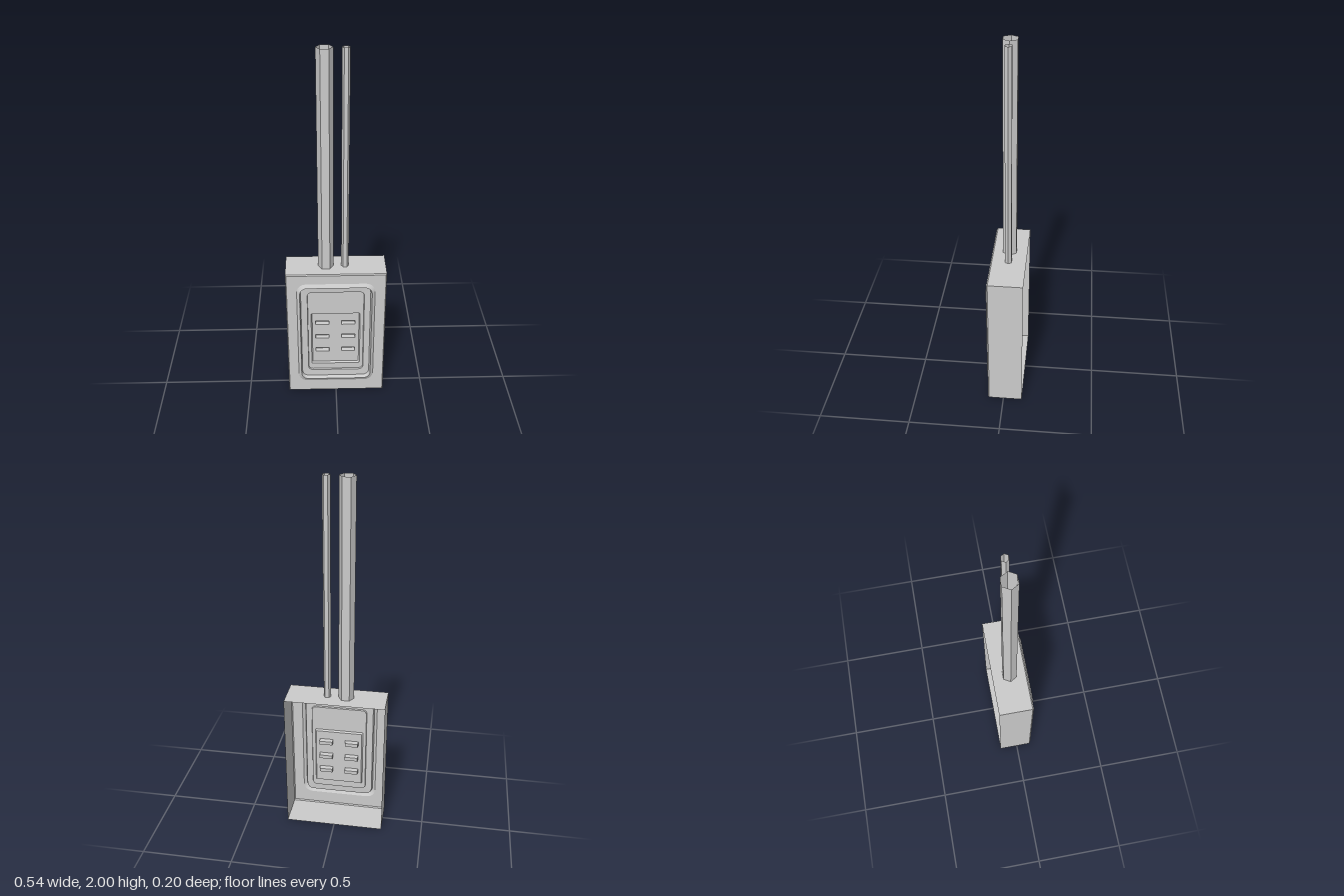
import * as THREE from 'three';
import { toCreasedNormals } from 'three/addons/utils/BufferGeometryUtils.js';

const material = new THREE.MeshStandardMaterial({ color: 0xcccccc, side: THREE.DoubleSide });

// Rounded rectangle, counter-clockwise from the front; ring = [x0, x1, y0, y1, radius, z]
function ringPoints([x0, x1, y0, y1, r, z], steps) {
  const corners = [[x1 - r, y0 + r, -0.5], [x1 - r, y1 - r, 0], [x0 + r, y1 - r, 0.5], [x0 + r, y0 + r, 1]];
  const points = [];
  for (const [cx, cy, start] of corners) {
    for (let i = 0; i <= steps; i++) {
      const a = (start + (steps ? i / steps : 0) * 0.5) * Math.PI;
      points.push(new THREE.Vector3(cx + r * Math.cos(a), cy + r * Math.sin(a), z));
    }
  }
  return points;
}

// Skin joining successive rings, optionally closed at the last one
function loft(name, rings, steps, capped = false) {
  const loops = rings.map((ring) => ringPoints(ring, steps));
  const n = loops[0].length;
  const index = [];
  for (let k = 0; k < loops.length - 1; k++) {
    for (let i = 0; i < n; i++) {
      const a = k * n + i, b = k * n + (i + 1) % n;
      index.push(a, b, b + n, a, b + n, a + n);
    }
  }
  if (capped) {
    const base = (loops.length - 1) * n;
    for (let i = 1; i < n - 1; i++) index.push(base, base + i, base + i + 1);
  }
  const geometry = new THREE.BufferGeometry().setFromPoints(loops.flat());
  geometry.setIndex(index);
  const mesh = new THREE.Mesh(toCreasedNormals(geometry, 0.45), material);
  mesh.name = name;
  return mesh;
}

// Open six-sided pipe standing on the box
function pipe(name, x, radius) {
  const geometry = new THREE.CylinderGeometry(radius, radius, 1.2, 6, 1, true, Math.PI / 2);
  const mesh = new THREE.Mesh(toCreasedNormals(geometry, 0.45), material);
  mesh.name = name;
  mesh.position.set(x, 1.4, -0.008);
  return mesh;
}

export function createModel() {
  const group = new THREE.Group();

  // Box shell, open at the back, with a small chamfer round the front
  group.add(loft('boxShell', [
    [-0.272, 0.272, 0, 0.8, 0, -0.104],
    [-0.272, 0.272, 0, 0.8, 0, 0.081],
    [-0.267, 0.267, 0.005, 0.795, 0, 0.088],
  ], 0));

  // Front face: raised rim, then stepped recesses
  group.add(loft('frontFace', [
    [-0.267, 0.267, 0.005, 0.795, 0, 0.088],
    [-0.213, 0.211, 0.075, 0.742, 0.05, 0.088],
    [-0.197, 0.195, 0.097, 0.722, 0.04, 0.1],
    [-0.192, 0.188, 0.104, 0.716, 0.036, 0.078],
    [-0.157, 0.155, 0.143, 0.68, 0.025, 0.076],
    [-0.155, 0.152, 0.146, 0.677, 0.023, 0.068],
    [-0.138, 0.134, 0.184, 0.533, 0.006, 0.068],
    [-0.132, 0.128, 0.191, 0.526, 0.004, 0.058],
  ], 5));

  // Panel floor with slot openings, and the recessed slots behind them
  const floor = new THREE.Shape(ringPoints([-0.132, 0.128, 0.191, 0.526, 0.004, 0], 5)
    .map((p) => new THREE.Vector2(p.x, p.y)));
  const slots = new THREE.Group();
  slots.name = 'slots';
  for (const x of [-0.114, 0.031]) {
    for (const y of [0.264, 0.357, 0.451]) {
      const mouth = [x, x + 0.076, y, y + 0.025, 0, 0.058];
      floor.holes.push(new THREE.Path(ringPoints(mouth, 0).map((p) => new THREE.Vector2(p.x, p.y))));
      slots.add(loft('slot', [mouth, [x + 0.002, x + 0.074, y + 0.002, y + 0.023, 0, 0.032]], 0, true));
    }
  }
  const panel = new THREE.Mesh(new THREE.ShapeGeometry(floor), material);
  panel.name = 'panelFloor';
  panel.position.z = 0.058;
  group.add(panel, slots);

  // Two pipes rising from the top
  group.add(pipe('largePipe', -0.053, 0.042), pipe('smallPipe', 0.05, 0.02));
  return group;
}
